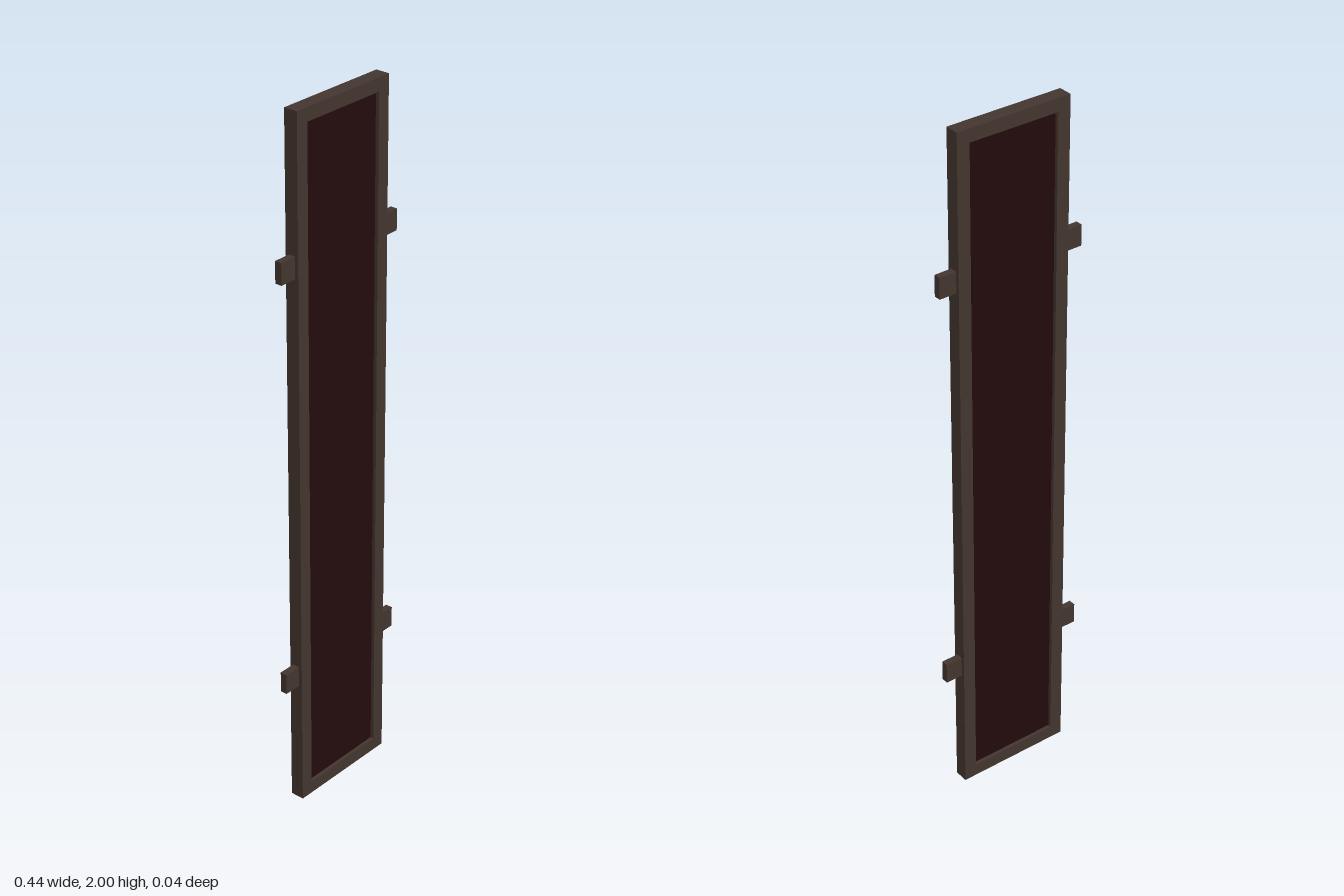
import * as THREE from 'three';

export function createModel() {
  const model = new THREE.Group();
  model.name = 'framedPanel';

  const frameBrown = new THREE.MeshStandardMaterial({ color: 0x43352e });
  frameBrown.name = 'frame brown';
  const panelMaroon = new THREE.MeshStandardMaterial({ color: 0x230b0c });
  panelMaroon.name = 'panel maroon';

  const W = 0.169, H = 2, DEPTH = 0.04, BORDER = 0.037;

  // Rectangular frame with an open centre
  const rectangle = (PathType, x, y0, y1) => {
    const path = new PathType();
    path.moveTo(-x, y0);
    path.lineTo(x, y0);
    path.lineTo(x, y1);
    path.lineTo(-x, y1);
    path.closePath();
    return path;
  };
  const outline = rectangle(THREE.Shape, W, 0, H);
  outline.holes.push(rectangle(THREE.Path, W - BORDER, BORDER, H - BORDER));
  const frameGeometry = new THREE.ExtrudeGeometry(outline, { depth: DEPTH, bevelEnabled: false });
  frameGeometry.translate(0, 0, -DEPTH / 2);
  const frame = new THREE.Mesh(frameGeometry, frameBrown);
  frame.name = 'frame';
  model.add(frame);

  // Dark panel recessed on both faces
  const panel = new THREE.Mesh(
    new THREE.BoxGeometry(2 * (W - BORDER), H - 2 * BORDER, 0.02), panelMaroon);
  panel.position.y = H / 2;
  panel.name = 'panel';
  model.add(panel);

  // Mounting tabs, two on each side
  const tabGeometry = new THREE.BoxGeometry(0.05, 0.06, 0.02);
  for (const side of [1, -1]) {
    for (const [level, y] of [['lower', 0.4], ['upper', 1.595]]) {
      const tab = new THREE.Mesh(tabGeometry, frameBrown);
      tab.position.set(side * (W + 0.025), y, 0);
      tab.name = level + (side > 0 ? 'Left' : 'Right') + 'Tab';
      model.add(tab);
    }
  }

  return model;
}
